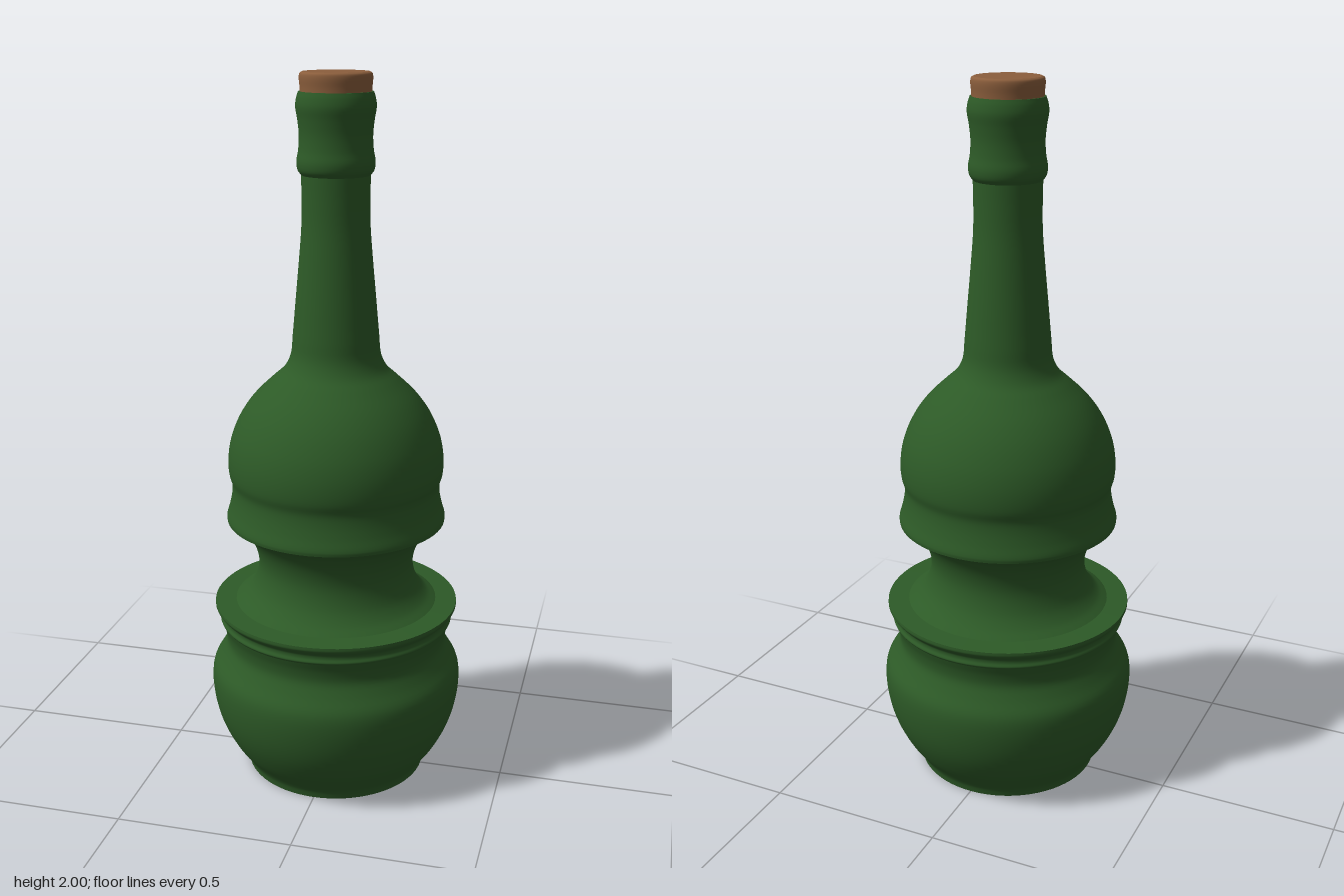
import * as THREE from 'three';

const glass = new THREE.MeshStandardMaterial({ name: 'green glass', color: 0x2d5a27 });
const corkMat = new THREE.MeshStandardMaterial({ name: 'cork', color: 0x8b5e3c });

// Smooth lathe through [radius, height] points; separate sections keep hard edges
function turned(name, points, material, steps = 4) {
  const curve = new THREE.CatmullRomCurve3(points.map(([r, y]) => new THREE.Vector3(r, y, 0)));
  const profile = points.length > 2
    ? curve.getPoints((points.length - 1) * steps).map(p => new THREE.Vector2(Math.max(p.x, 0), p.y))
    : points.map(([r, y]) => new THREE.Vector2(r, y));
  const mesh = new THREE.Mesh(new THREE.LatheGeometry(profile, 72), material);
  mesh.name = name;
  return mesh;
}

export function createModel() {
  const group = new THREE.Group();
  group.name = 'bottle';
  group.add(
    // hollow underside and the rim it stands on
    turned('basePunt', [[0, 0.08], [0.1, 0.075], [0.19, 0.055], [0.235, 0.03], [0.25, 0]], glass),
    turned('baseRim', [[0.25, 0], [0.26, 0]], glass),
    // round lower belly up to its stepped collar
    turned('lowerBelly', [[0.26, 0], [0.267, 0.025], [0.305, 0.08], [0.338, 0.145], [0.357, 0.21],
      [0.364, 0.28], [0.358, 0.32], [0.335, 0.36], [0.32, 0.395], [0.323, 0.43], [0.333, 0.46]], glass),
    turned('collarStep', [[0.333, 0.46], [0.337, 0.467], [0.333, 0.477], [0.334, 0.488],
      [0.345, 0.5], [0.35, 0.508], [0.35, 0.518]], glass),
    turned('collarTop', [[0.35, 0.518], [0.29, 0.521]], glass),
    // pinched waist
    turned('waist', [[0.29, 0.521], [0.262, 0.54], [0.236, 0.575], [0.222, 0.63], [0.231, 0.685],
      [0.256, 0.73], [0.285, 0.755], [0.31, 0.767]], glass),
    // upper belly, shoulder and neck
    turned('upperBelly', [[0.31, 0.767], [0.311, 0.778], [0.302, 0.81], [0.295, 0.845], [0.294, 0.875],
      [0.302, 0.905], [0.304, 0.94], [0.3, 0.98], [0.288, 1.025], [0.262, 1.08], [0.225, 1.13],
      [0.175, 1.178], [0.143, 1.208], [0.125, 1.245], [0.119, 1.3], [0.11, 1.4], [0.1, 1.51],
      [0.093, 1.6], [0.092, 1.68], [0.093, 1.735]], glass),
    // ringed mouth
    turned('mouth', [[0.093, 1.735], [0.102, 1.748], [0.105, 1.77], [0.1, 1.8], [0.098, 1.84],
      [0.102, 1.88], [0.107, 1.912], [0.104, 1.935], [0.099, 1.95]], glass),
    turned('mouthTop', [[0.099, 1.95], [0.085, 1.95]], glass),
    // cork stopper with softly rounded edge
    turned('corkSide', [[0.094, 1.93], [0.095, 1.96], [0.097, 1.985], [0.095, 1.996], [0.089, 2]], corkMat),
    turned('corkTop', [[0.089, 2], [0, 2]], corkMat),
  );
  return group;
}
